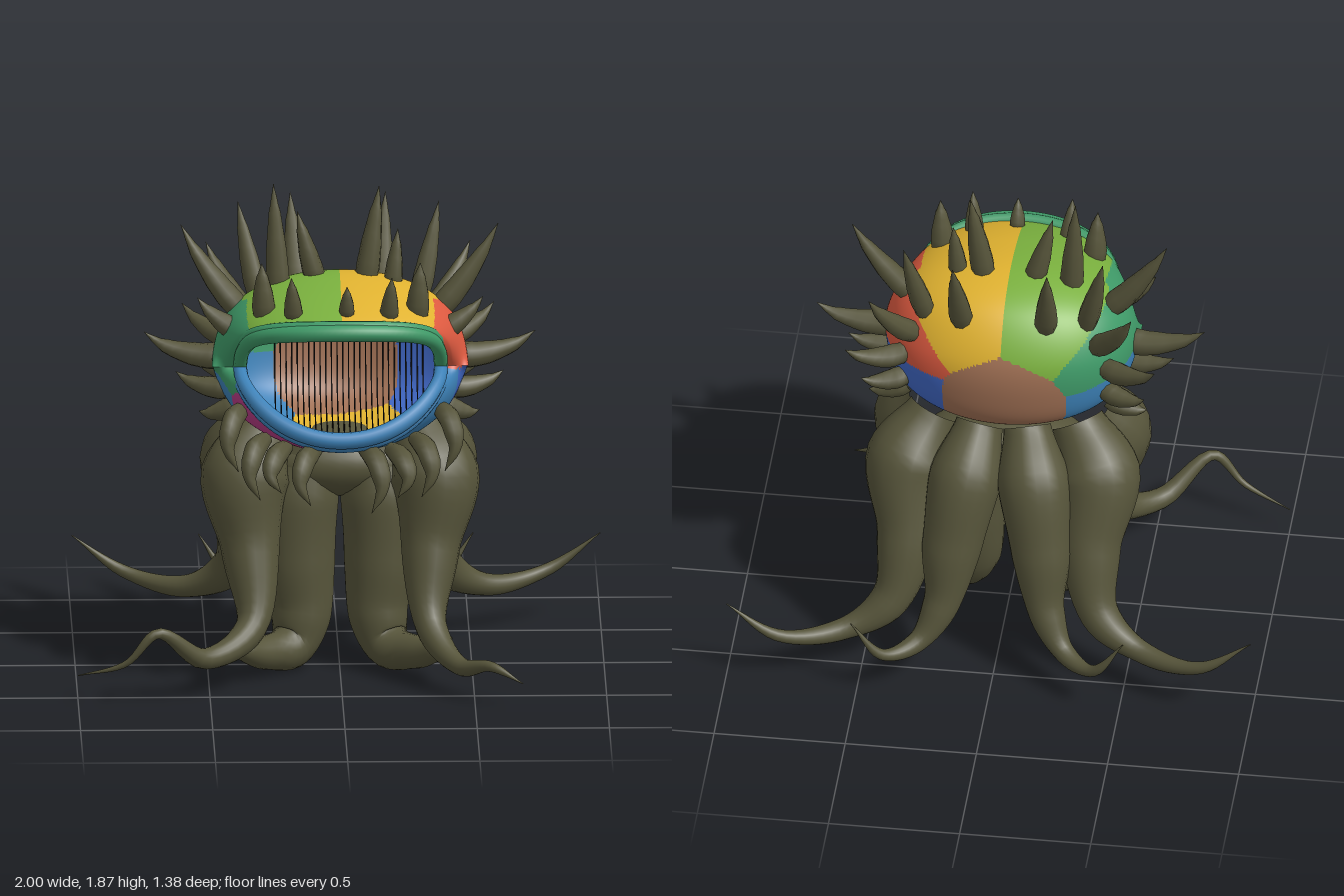
import * as THREE from 'three';

const mat = (name, color, double) => {
  const m = new THREE.MeshStandardMaterial({ color });
  m.name = name;
  if (double) m.side = THREE.DoubleSide;
  return m;
};
const V = (p) => new THREE.Vector3(...p);

// Tapered tube along a smooth path; radii are spread evenly over the path
function taper(points, radii, segs, sides) {
  const curve = new THREE.CatmullRomCurve3(points.map(V));
  const { normals, binormals } = curve.computeFrenetFrames(segs, false);
  const pos = [], idx = [];
  for (let i = 0; i <= segs; i++) {
    const t = i / segs, p = curve.getPoint(t);
    const f = t * (radii.length - 1), k = Math.min(Math.floor(f), radii.length - 2);
    const s = f - k, r = THREE.MathUtils.lerp(radii[k], radii[k + 1], s * s * (3 - 2 * s) * 0.5 + s * 0.5);
    // frames are sampled by arc length, so re-square them to the local tangent
    const T = curve.getTangent(t);
    const N = normals[i].clone().addScaledVector(T, -normals[i].dot(T)).normalize();
    const B = binormals[i].copy(T).cross(N);
    for (let j = 0; j < sides; j++) {
      const a = (j / sides) * Math.PI * 2;
      const q = p.clone().addScaledVector(N, Math.cos(a) * r).addScaledVector(B, Math.sin(a) * r);
      pos.push(q.x, q.y, q.z);
      if (i < segs) {
        const a0 = i * sides + j, b0 = i * sides + (j + 1) % sides;
        idx.push(a0, b0, a0 + sides, b0, b0 + sides, a0 + sides);
      }
    }
  }
  const g = new THREE.BufferGeometry();
  g.setAttribute('position', new THREE.Float32BufferAttribute(pos, 3));
  g.setIndex(idx);
  g.computeVertexNormals();
  return g;
}

export function createModel() {
  const root = new THREE.Group();
  root.name = 'tentacleCreature';
  const olive = mat('olive', 0x56543a);
  const black = mat('black', 0x0a0a0a);
  const patches = [
    mat('leafGreen', 0x7ab03e, true), mat('yellow', 0xe0b230, true), mat('red', 0xdd5a40, true),
    mat('blue', 0x4169c8, true), mat('teal', 0x3f9a68, true), mat('steelBlue', 0x3d82b8, true),
    mat('magenta', 0xb93c86, true), mat('brown', 0xa07054, true),
  ];
  const add = (name, geo, material, parent = root) => {
    const m = new THREE.Mesh(geo, material);
    m.name = name;
    parent.add(m);
    return m;
  };

  // Head: a profile from upper lip over the back to lower lip, narrowing to the mouth corners
  const profile = new THREE.CatmullRomCurve3([
    [0, 1.41, 0.49], [0, 1.455, 0.4], [0, 1.51, 0.22], [0, 1.53, 0], [0, 1.47, -0.18], [0, 1.31, -0.29],
    [0, 1.15, -0.3], [0, 1.0, -0.25], [0, 0.92, -0.1], [0, 0.88, 0.15], [0, 0.91, 0.35], [0, 0.99, 0.49],
  ].map(V));
  const headWidth = (v) => 0.38 + 0.105 * Math.pow(Math.max(0, Math.sin(Math.PI * v)), 0.7);
  const headPoint = (u, v) => {
    const nearLip = Math.pow(Math.cos(Math.PI * v), 8);
    const p = profile.getPoint(v), c = Math.pow(Math.max(0, Math.cos(u)), 0.7 + 0.15 * nearLip);
    const arch = 0.035 * Math.sin(Math.PI * c) * nearLip;
    return new THREE.Vector3(headWidth(v) * Math.sin(u), 1.2 + (p.y - 1.2) * c + arch, 0.17 + (p.z - 0.17) * c);
  };
  // Each face takes the colour of the nearest patch centre
  const seeds = [
    [-0.25, 1.5, -0.05, 0], [-0.25, 1.5, 0.25, 0], [0.25, 1.5, -0.05, 1], [0.25, 1.5, 0.25, 1],
    [0.45, 1.32, -0.05, 2], [0.45, 1.32, 0.2, 2], [0.45, 1.08, -0.05, 3], [0.45, 1.08, 0.1, 3],
    [-0.45, 1.32, -0.05, 4], [-0.45, 1.32, 0.2, 4], [-0.45, 1.08, 0, 5], [0.45, 1.08, 0.24, 5],
    [0.27, 0.98, 0.35, 5], [-0.27, 0.95, 0.3, 6], [0.08, 0.85, 0.1, 1], [0, 0.98, -0.41, 7],
  ];
  const nu = 130, nv = 150, pos = [], buckets = patches.map(() => []);
  for (let i = 0; i <= nv; i++) {
    for (let j = 0; j <= nu; j++) pos.push(...headPoint((j / nu - 0.5) * Math.PI, i / nv).toArray());
  }
  for (let i = 0; i < nv; i++) {
    for (let j = 0; j < nu; j++) {
      const a = i * (nu + 1) + j, b = a + 1, c = a + nu + 1, d = c + 1;
      for (const tri of [[a, c, b], [b, c, d]]) {
        const m = [0, 1, 2].map((k) => tri.reduce((s, n) => s + pos[n * 3 + k], 0) / 3);
        let best = 9, pick = 0;
        for (const s of seeds) {
          const dist = Math.hypot(m[0] - s[0], m[1] - s[1], m[2] - s[2]);
          if (dist < best) { best = dist; pick = s[3]; }
        }
        buckets[pick].push(...tri);
      }
    }
  }
  const head = new THREE.BufferGeometry();
  head.setAttribute('position', new THREE.Float32BufferAttribute(pos, 3));
  // wind the faces outwards, whichever way the grid runs
  const crown = headPoint(0, 0.3), du = headPoint(0.05, 0.3).sub(crown), dv = headPoint(0, 0.32).sub(crown);
  const flip = dv.cross(du).dot(crown.clone().sub(V([0, 1.2, 0.1]))) < 0;
  const index = [];
  buckets.forEach((b, k) => {
    head.addGroup(index.length, b.length, k);
    for (let i = 0; i < b.length; i += 3) index.push(b[i], flip ? b[i + 2] : b[i + 1], flip ? b[i + 1] : b[i + 2]);
  });
  head.setIndex(index);
  head.computeVertexNormals();
  add('head', head, patches);

  // Lips: a thick roll with a thinner ridge outside it
  for (const [name, v, m, dy] of [['upperLip', 0, patches[4], 0.012], ['lowerLip', 1, patches[5], -0.022]]) {
    const line = [];
    for (let i = 0; i <= 16; i++) line.push(headPoint((i / 16 - 0.5) * Math.PI, v).toArray());
    add(name, taper(line, [0.026, 0.032, 0.032, 0.026], 48, 10), m);
    const ridge = line.map(([x, y, z]) => [x * 1.02, y + dy, z - 0.025]);
    add(name + 'Ridge', taper(ridge, [0.022, 0.03, 0.03, 0.022], 48, 8), m);
  }

  // Fine dark lines down the back of the mouth and along its floor
  const throat = new THREE.Group();
  throat.name = 'throatLines';
  root.add(throat);
  for (let i = 0; i < 27; i++) {
    const x = -0.24 + i * 0.0215, path = [];
    for (let k = 0; k <= 8; k++) {
      const v = 0.42 + k * 0.045;
      const p = headPoint(Math.asin(x / headWidth(v)), v);
      path.push([x, 1.2 + (p.y - 1.2) * 0.94, 0.1 + (p.z - 0.1) * 0.94]);
    }
    add('throatLine', taper(path, [0.0025, 0.0025], 20, 4), black, throat);
  }

  // Spikes: bent horns from base to tip
  const spikes = new THREE.Group();
  spikes.name = 'spikes';
  root.add(spikes);
  const spike = (base, tip, r) => {
    const at = (t, lift) => base.map((b, k) => b + (tip[k] - b) * t + (k === 1 ? lift : 0));
    const bend = Math.hypot(tip[0] - base[0], tip[2] - base[2]) * 0.1;
    const pts = [at(-0.05, 0), at(0.3, -bend), at(0.75, -bend), tip];
    add('spike', taper(pts, [r * 0.9, r, r * 0.88, r * 0.6, r * 0.28, 0.001], 12, 9), olive, spikes);
  };
  [
    [[-0.23, 1.45, 0.03], [-0.25, 1.87, 0], 0.046], [[-0.09, 1.5, 0.02], [-0.16, 1.77, 0.03], 0.042],
    [[0.1, 1.5, 0.02], [0.15, 1.86, 0], 0.046], [[0.2, 1.48, 0.04], [0.22, 1.7, 0.03], 0.036],
    [[0.02, 1.46, 0.38], [0.02, 1.57, 0.41], 0.03],
  ].forEach((s) => spike(...s));
  const sidePairs = [
    [[0.16, 1.43, -0.18], [0.18, 1.76, -0.31], 0.045], [[0.31, 1.42, -0.12], [0.38, 1.75, -0.2], 0.042],
    [[0.38, 1.39, 0.02], [0.6, 1.71, -0.01], 0.048], [[0.38, 1.33, 0.14], [0.54, 1.46, 0.13], 0.045],
    [[0.43, 1.22, 0.05], [0.74, 1.3, 0.02], 0.052], [[0.42, 1.1, 0.08], [0.62, 1.15, 0.04], 0.045],
    [[0.36, 1.34, -0.16], [0.5, 1.57, -0.3], 0.045], [[0.4, 1.23, -0.16], [0.59, 1.33, -0.3], 0.045],
    [[0.39, 1.11, -0.14], [0.54, 1.14, -0.22], 0.042], [[0.39, 1.0, -0.04], [0.53, 0.97, -0.06], 0.045],
    [[0.29, 1.43, 0.26], [0.3, 1.63, 0.28], 0.045], [[0.18, 1.44, 0.35], [0.19, 1.6, 0.39], 0.036],
  ];
  for (const side of [1, -1]) {
    for (const [b, t, r] of sidePairs) spike([b[0] * side, b[1], b[2]], [t[0] * side, t[1], t[2]], r);
  }

  // Hooked claws hanging below the jaw
  const claws = new THREE.Group();
  claws.name = 'jawClaws';
  root.add(claws);
  for (const [x, y, z, drop] of [
    [-0.1, 0.93, 0.4, 0.17], [0.09, 0.93, 0.4, 0.2], [-0.29, 0.96, 0.35, 0.19], [0.28, 0.96, 0.35, 0.18],
    [-0.21, 0.92, 0.32, 0.13], [0.19, 0.92, 0.36, 0.14], [-0.37, 1.05, 0.23, 0.2], [0.37, 1.05, 0.23, 0.2],
  ]) {
    const s = Math.sign(x);
    const pts = [[x, y, z - 0.01], [x + s * 0.04, y - drop * 0.1, z + 0.1],
      [x + s * 0.06, y - drop * 0.55, z + 0.16], [x + s * 0.02, y - drop, z + 0.18]];
    add('jawClaw', taper(pts, [0.03, 0.042, 0.038, 0.02, 0.001], 14, 9), olive, claws);
  }

  // Body mass joining the tentacles
  const body = add('body', new THREE.SphereGeometry(1, 32, 20), olive);
  body.scale.set(0.33, 0.14, 0.2);
  body.position.set(0, 0.78, -0.08);

  // Tentacles, mirrored in pairs; the front ones end in different tips
  for (const s of [1, -1]) {
    const tentacle = (name, pts, radii) =>
      add(name, taper(pts.map(([x, y, z]) => [x * s, y, z]), radii, 44, 18), olive);
    tentacle('middleLeg', [[0.11, 0.87, -0.02], [0.15, 0.65, -0.02], [0.155, 0.4, -0.01], [0.145, 0.2, 0.015],
      [0.18, 0.09, 0.06], [0.28, 0.085, 0.17], [0.36, 0.12, 0.27], [0.42, 0.18, 0.32]],
    [0.1, 0.15, 0.14, 0.115, 0.09, 0.065, 0.045, 0.004]);
    const tip = s > 0
      ? [[0.45, 0.11, 0.5], [0.56, 0.14, 0.62], [0.68, 0.09, 0.69]]
      : [[0.52, 0.14, 0.48], [0.7, 0.27, 0.6], [0.82, 0.15, 0.59], [1.0, 0.09, 0.53]];
    tentacle('frontTentacle', [[0.28, 0.93, 0], [0.36, 0.75, 0.09], [0.34, 0.48, 0.17], [0.34, 0.22, 0.31], ...tip],
      s > 0 ? [0.11, 0.17, 0.11, 0.06, 0.035, 0.02, 0.002] : [0.11, 0.17, 0.11, 0.06, 0.04, 0.02, 0.012, 0.002]);
    tentacle('sideTentacle', [[0.27, 0.94, -0.11], [0.36, 0.76, -0.2], [0.35, 0.5, -0.33], [0.4, 0.27, -0.44],
      [0.57, 0.17, -0.52], [0.8, 0.2, -0.63], [1.0, 0.34, -0.64]],
    [0.1, 0.165, 0.115, 0.075, 0.042, 0.024, 0.002]);
    tentacle('backTentacle', [[0.09, 0.95, -0.19], [0.13, 0.78, -0.31], [0.17, 0.52, -0.4], [0.2, 0.3, -0.48],
      [0.28, 0.17, -0.56], [0.4, 0.17, -0.66], [0.52, 0.33, -0.69]],
    [0.09, 0.14, 0.115, 0.07, 0.04, 0.022, 0.002]);
  }
  return root;
}
